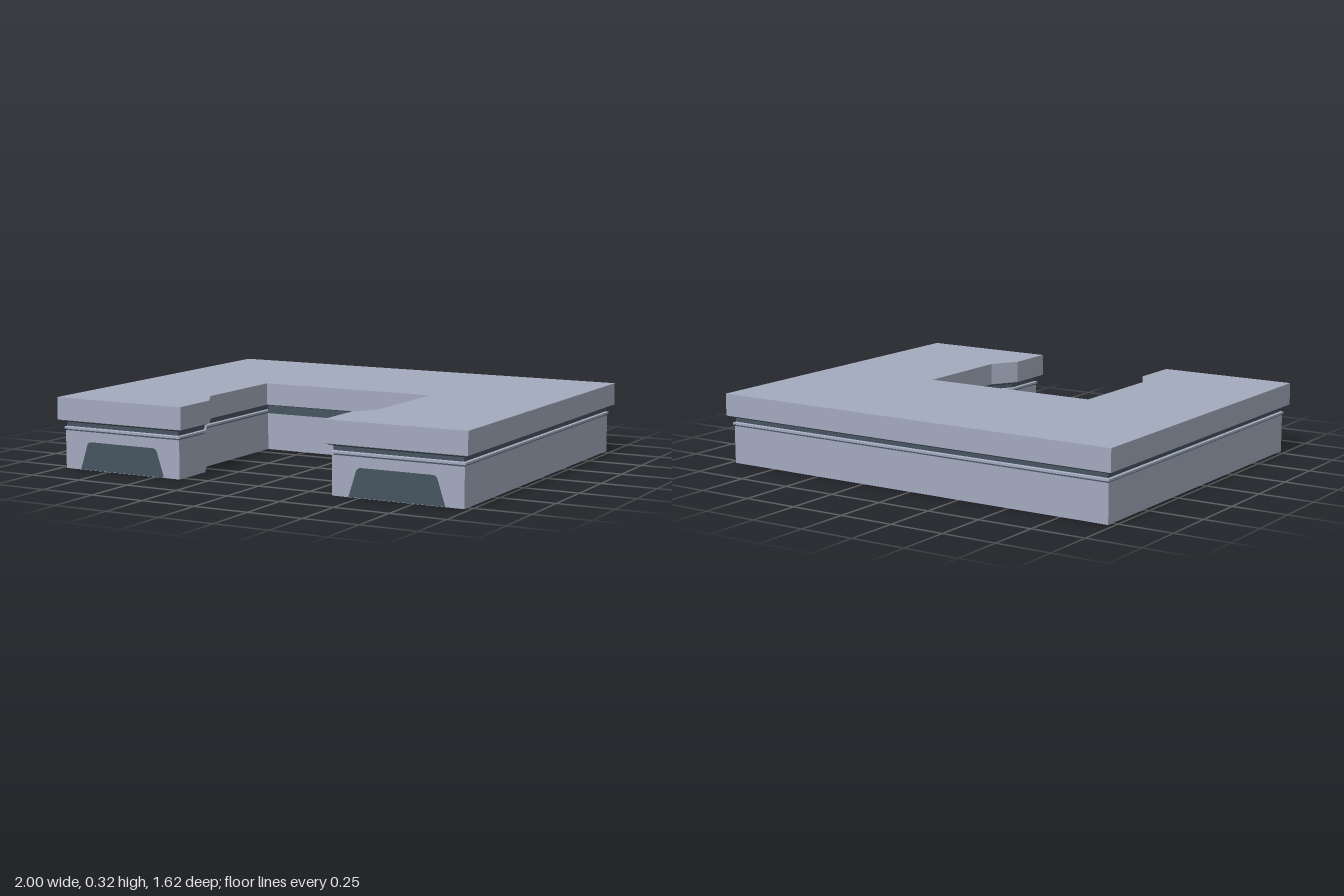
import * as THREE from 'three';

const shellGrey = new THREE.MeshStandardMaterial({ color: 0xa2aabd, side: THREE.DoubleSide });
shellGrey.name = 'shellGrey';
const trimDark = new THREE.MeshStandardMaterial({ color: 0x46535f, side: THREE.DoubleSide });
trimDark.name = 'trimDark';

// U-shaped plan outline as [x, z], drawn inwards by d
function plan(d) {
  const half = [
    [1 - d, -0.81 + d], [1 - d, 0.81 - d], [0.35 + d, 0.81 - d],
    [0.35 + d, 0.58], [0.422 + d, 0.46], [0.422 + d, -0.03 - 2 * d],
  ];
  return [...half, ...half.map(([x, z]) => [-x, z]).reverse()];
}

// Wall strips following the plan through a profile of [inset, height] pairs
function wall(name, profile, material, extra = 0) {
  const pos = [];
  for (let k = 0; k < profile.length - 1; k++) {
    const [d0, y0] = profile[k], [d1, y1] = profile[k + 1];
    const top = plan(d0 + extra), low = plan(d1 + extra);
    for (let i = 0; i < top.length; i++) {
      const j = (i + 1) % top.length;
      const a = [top[i][0], y0, top[i][1]], b = [top[j][0], y0, top[j][1]];
      const c = [low[j][0], y1, low[j][1]], e = [low[i][0], y1, low[i][1]];
      pos.push(...a, ...b, ...c, ...a, ...c, ...e);
    }
  }
  const geo = new THREE.BufferGeometry();
  geo.setAttribute('position', new THREE.Float32BufferAttribute(pos, 3));
  geo.computeVertexNormals();
  const mesh = new THREE.Mesh(geo, material);
  mesh.name = name;
  return mesh;
}

export function createModel() {
  const model = new THREE.Group();
  model.name = 'uShapedCounter';

  // Flat top
  const outline = new THREE.Shape(plan(0).map(([x, z]) => new THREE.Vector2(x, -z)));
  const topGeo = new THREE.ShapeGeometry(outline);
  topGeo.rotateX(-Math.PI / 2);
  const top = new THREE.Mesh(topGeo, shellGrey);
  top.name = 'counterTop';
  top.position.y = 0.32;
  model.add(top);

  // Slab edge, shadow groove, lip, lower groove and open-bottomed base
  const groove = [[0.01, 0.216], [0.03, 0.208], [0.03, 0.19]];
  const lowerGroove = [[0.02, 0.178], [0.03, 0.177], [0.03, 0.172], [0.025, 0.171]];
  model.add(
    wall('slabEdge', [[0, 0.32], [0, 0.22], [0.01, 0.216]], shellGrey),
    wall('shadowGroove', groove, trimDark),
    wall('shadowGrooveLining', groove, shellGrey, 0.003),
    wall('lip', [[0.03, 0.19], [0.02, 0.187], [0.02, 0.178]], shellGrey),
    wall('lowerGroove', lowerGroove, trimDark),
    wall('lowerGrooveLining', lowerGroove, shellGrey, 0.003),
    wall('baseWall', [[0.025, 0.171], [0.025, 0]], shellGrey),
  );

  // Dark band under the slab at the back of the notch
  const band = new THREE.Mesh(new THREE.PlaneGeometry(0.88, 0.035), trimDark);
  band.name = 'notchBand';
  band.position.set(0, 0.1925, -0.066);
  model.add(band);

  // Trapezoid panels on the two front ends, on both faces of the wall
  const panel = new THREE.Shape();
  panel.moveTo(-0.22, 0.002);
  panel.lineTo(0.22, 0.002);
  panel.lineTo(0.185, 0.11);
  panel.quadraticCurveTo(0.18, 0.127, 0.16, 0.127);
  panel.lineTo(-0.16, 0.127);
  panel.quadraticCurveTo(-0.18, 0.127, -0.185, 0.11);
  panel.closePath();
  const panelGeo = new THREE.ShapeGeometry(panel);
  for (const side of [-1, 1]) {
    for (const z of [0.789, 0.781]) {
      const mesh = new THREE.Mesh(panelGeo, trimDark);
      mesh.name = side > 0 ? 'leftFrontPanel' : 'rightFrontPanel';
      mesh.position.set(side * 0.673, 0, z);
      model.add(mesh);
    }
  }
  return model;
}
